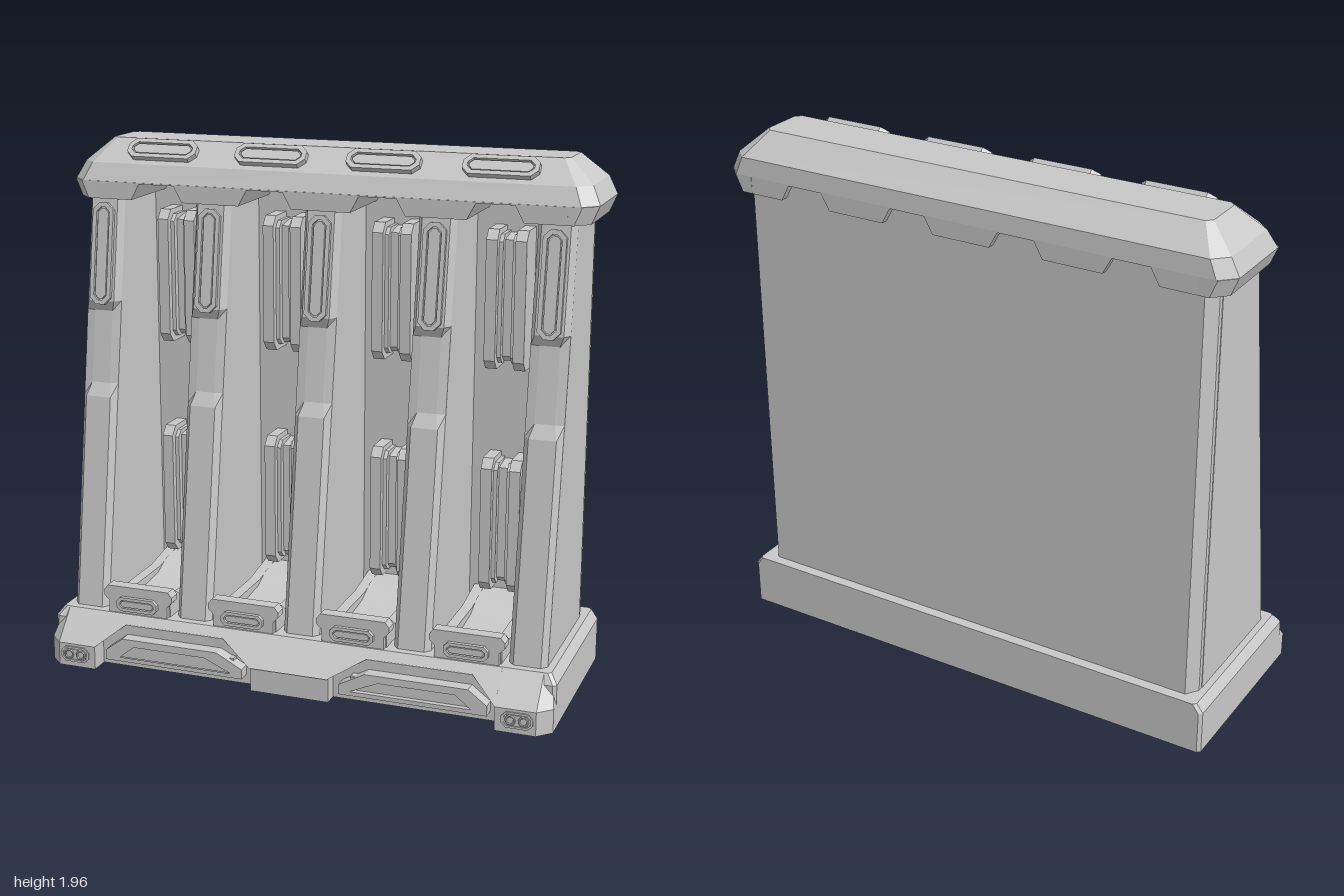
import * as THREE from 'three';

const metal = new THREE.MeshStandardMaterial({ color: 0xc8c8c8 });
metal.name = 'light grey metal';
metal.flatShading = true;

const BAYS = [-0.645, -0.215, 0.215, 0.645];
const COLUMNS = [-0.86, -0.43, 0, 0.43, 0.86];
const slopeZ = y => 0.25 - (y - 0.2) * 0.155; // leaning front of the columns

export function createModel() {
  const root = new THREE.Group();
  root.name = 'storageRack';

  const add = (name, geo, parent = root) => {
    const m = new THREE.Mesh(geo, metal);
    m.name = name;
    parent.add(m);
    return m;
  };
  const shapeOf = pts => new THREE.Shape(pts.map(p => new THREE.Vector2(p[0], p[1])));
  const extrude = (shape, depth) =>
    new THREE.ExtrudeGeometry(shape, { depth, bevelEnabled: false, curveSegments: 6 });

  // Side profile of [z, y] points, extruded along x and centred on x = 0
  const extrudeX = (pts, width) =>
    extrude(shapeOf(pts), width).translate(0, 0, -width / 2).rotateY(-Math.PI / 2);

  // Stack of convex [x, z] outlines at given heights
  function loft(levels) {
    const rings = levels.map(([y, pts]) => {
      let area = 0;
      pts.forEach((p, i) => {
        const q = pts[(i + 1) % pts.length];
        area += p[0] * q[1] - q[0] * p[1];
      });
      return (area > 0 ? [...pts].reverse() : pts).map(p => [p[0], y, p[1]]);
    });
    const pos = [], n = rings[0].length, tri = (a, b, c) => pos.push(...a, ...b, ...c);
    for (let k = 0; k < rings.length - 1; k++) {
      for (let i = 0; i < n; i++) {
        const j = (i + 1) % n, lo = rings[k], hi = rings[k + 1];
        tri(lo[i], lo[j], hi[j]);
        tri(lo[i], hi[j], hi[i]);
      }
    }
    const bottom = rings[0], top = rings[rings.length - 1];
    for (let i = 1; i < n - 1; i++) {
      tri(top[0], top[i], top[i + 1]);
      tri(bottom[0], bottom[i + 1], bottom[i]);
    }
    const g = new THREE.BufferGeometry();
    g.setAttribute('position', new THREE.Float32BufferAttribute(pos, 3));
    g.computeVertexNormals();
    return g;
  }
  // Chamfered rectangle in plan
  const rect = (hx, z0, z1, c) => [[-hx + c, z0], [hx - c, z0], [hx, z0 + c], [hx, z1 - c],
    [hx - c, z1], [-hx + c, z1], [-hx, z1 - c], [-hx, z0 + c]];
  const octagon = (w, h, c) => rect(w / 2, -h / 2, h / 2, c);

  // Framed plate: raised rim round a lower bevelled inset
  function framedPlate(name, w, h, rim, depth) {
    const g = new THREE.Group();
    g.name = name;
    const c = Math.min(w, h) * 0.3;
    const frame = shapeOf(octagon(w, h, c));
    frame.holes.push(shapeOf(octagon(w - 2 * rim, h - 2 * rim, c * 0.7)));
    add('rim', extrude(frame, depth), g);
    add('inset', extrude(shapeOf(octagon(w - 2.6 * rim, h - 2.6 * rim, c * 0.6)), depth * 0.85), g);
    add('backing', extrude(shapeOf(octagon(w - rim, h - rim, c)), depth * 0.4), g);
    root.add(g);
    return g;
  }

  // Base
  add('baseCore', loft([
    [0, rect(0.98, -0.385, 0.31, 0.012)],
    [0.165, rect(0.98, -0.385, 0.31, 0.012)],
    [0.2, rect(0.955, -0.385, 0.285, 0.012)],
  ]));
  for (const s of [-1, 1]) {
    const corner = [[0.78, 0.28], [0.78, 0.385], [0.93, 0.385], [0.98, 0.335], [0.98, 0.28]];
    const top = [[0.78, 0.2], [0.78, 0.285], [0.93, 0.285], [0.955, 0.26], [0.955, 0.2]];
    const side = pts => pts.map(p => [s * p[0], p[1]]);
    add('baseCorner', loft([[0, side(corner)], [0.09, side(corner)], [0.2, side(top)]]));

    // Trapezoid panel in the base recess
    const panel = shapeOf([[0.746, 0.037], [0.746, 0.075], [0.676, 0.128],
      [0.29, 0.128], [0.19, 0.075], [0.19, 0.037]].map(p => [s * p[0], p[1]]));
    panel.holes.push(shapeOf([[0.687, 0.053], [0.628, 0.1], [0.34, 0.1], [0.233, 0.053]]
      .map(p => [s * p[0], p[1]])));
    add('basePanel', extrude(panel, 0.055)).position.z = 0.305;
    add('basePanelBacking', new THREE.BoxGeometry(0.46, 0.06, 0.035)).position.set(s * 0.46, 0.076, 0.322);

    // Corner sockets
    const socket = framedPlate('cornerSocket', 0.115, 0.06, 0.008, 0.01);
    socket.position.set(s * 0.862, 0.05, 0.38);
    for (const dx of [-0.024, 0.024]) {
      add('socketRing', new THREE.TorusGeometry(0.016, 0.004, 6, 12), socket).position.set(dx, 0, 0.01);
    }
  }
  // Sloping front skin of the base with two cut-outs
  const skin = extrude(shapeOf([[-0.78, 0.2], [-0.78, 0.09], [-0.676, 0.17], [-0.286, 0.17],
    [-0.152, 0.095], [0.152, 0.095], [0.286, 0.17], [0.676, 0.17], [0.78, 0.09], [0.78, 0.2]]), 1);
  const sp = skin.attributes.position;
  for (let i = 0; i < sp.count; i++) {
    sp.setZ(i, sp.getZ(i) > 0.5 ? 0.385 - (sp.getY(i) - 0.09) * 0.9 : 0.25);
  }
  skin.computeVertexNormals();
  add('baseFrontSkin', skin);
  add('baseCentre', new THREE.BoxGeometry(0.304, 0.095, 0.1)).position.set(0, 0.0475, 0.315);

  // Back wall with chamfered rear corners
  const wall = [[-0.928, -0.27], [0.928, -0.27], [0.928, -0.3], [0.895, -0.345], [-0.895, -0.345], [-0.928, -0.3]];
  add('backWall', loft([[0.19, wall], [1.815, wall]]));

  // Columns: full width below, waisted in the middle, thick at the top
  for (const cx of COLUMNS) {
    const ring = (y, w, off) => {
      const z = slopeZ(y), h = 0.07;
      return [y, [[cx - h, -0.28], [cx - h, z - 0.02], [cx - w, z + off], [cx + w, z + off],
        [cx + h, z - 0.02], [cx + h, -0.28]]];
    };
    add('column', loft([ring(0.19, 0.05, 0.004), ring(1.0, 0.05, 0.004), ring(1.05, 0.036, -0.015),
      ring(1.32, 0.036, -0.015), ring(1.36, 0.052, 0.01), ring(1.78, 0.052, 0.01)]));
    const pad = framedPlate('columnPad', 0.084, 0.38, 0.016, 0.018);
    pad.position.set(cx, 1.535, slopeZ(1.535) + 0.006);
    pad.rotation.x = -Math.atan(0.155);
  }

  // Bay fittings
  for (const bx of BAYS) {
    // Upper and lower wall brackets
    for (const y of [0.31, 1.165]) {
      const bracket = new THREE.Group();
      bracket.name = 'bracket';
      bracket.position.set(bx, y, -0.275);
      root.add(bracket);
      for (const s of [-1, 1]) {
        add('bracketRail', extrudeX([[0, 0], [0.11, 0], [0.14, 0.035], [0.14, 0.48], [0.11, 0.515], [0, 0.515]],
          0.042), bracket).position.x = s * 0.054;
        add('bracketInnerRail', extrudeX([[0, 0.02], [0.09, 0.02], [0.115, 0.045], [0.115, 0.47], [0.09, 0.495],
          [0, 0.495]], 0.016), bracket).position.x = s * 0.026;
      }
      add('bracketWeb', extrudeX([[0, 0.025], [0.07, 0.025], [0.09, 0.045], [0.09, 0.475], [0, 0.49]], 0.05), bracket);
    }

    // Tray with a dished floor
    add('trayFloor', extrudeX([[-0.28, 0.19], [0.27, 0.19], [0.27, 0.27], [0.22, 0.27], [0.17, 0.235],
      [0.05, 0.222], [-0.08, 0.235], [-0.16, 0.27], [-0.28, 0.28]], 0.17)).position.x = bx;
    for (const s of [-1, 1]) {
      add('traySide', extrudeX([[-0.28, 0.19], [0.26, 0.19], [0.26, 0.285], [0.2, 0.285], [0.16, 0.255],
        [-0.1, 0.255], [-0.28, 0.285]], 0.04)).position.x = bx + s * 0.105;
    }
    const shield = extrude(shapeOf([[-0.12, 0.19], [0.12, 0.19], [0.12, 0.245], [0.14, 0.265], [0.14, 0.285],
      [0.125, 0.305], [-0.125, 0.305], [-0.14, 0.285], [-0.14, 0.265], [-0.12, 0.245]]), 0.05);
    add('trayFront', shield).position.set(bx, 0, 0.23);
    const bar = framedPlate('trayBar', 0.166, 0.055, 0.012, 0.018);
    bar.position.set(bx, 0.24, 0.277);

    // Raised plate on the sloping front of the cap
    const capPlate = framedPlate('capPlate', 0.275, 0.085, 0.017, 0.025);
    capPlate.position.set(bx, 1.911, -0.047);
    capPlate.rotation.x = -Math.PI / 4;
  }

  // Cap
  add('cap', loft([
    [1.805, rect(1.0, -0.375, 0.03, 0.055)],
    [1.87, rect(0.968, -0.37, 0.0, 0.05)],
    [1.955, rect(0.875, -0.28, -0.09, 0.02)],
  ]));
  // Toothed lower edge of the cap
  const teeth = [[0.9, 1.805], [-0.9, 1.805], [-0.9, 1.74]];
  for (const bx of BAYS) {
    teeth.push([bx - 0.103, 1.74], [bx - 0.07, 1.8], [bx + 0.07, 1.8], [bx + 0.103, 1.74]);
  }
  teeth.push([0.9, 1.74]);
  add('capTeeth', extrude(shapeOf(teeth), 0.405)).position.z = -0.372;
  for (const s of [-1, 1]) {
    const end = (hx, z0, z1) => [[0.88, z0], [hx - 0.05, z0], [hx, z0 + 0.05], [hx, z1 - 0.05],
      [hx - 0.05, z1], [0.88, z1]].map(p => [s * p[0], p[1]]);
    add('capEnd', loft([[1.74, end(0.972, -0.372, 0.033)], [1.805, end(1.0, -0.374, 0.032)]]));
  }
  return root;
}
